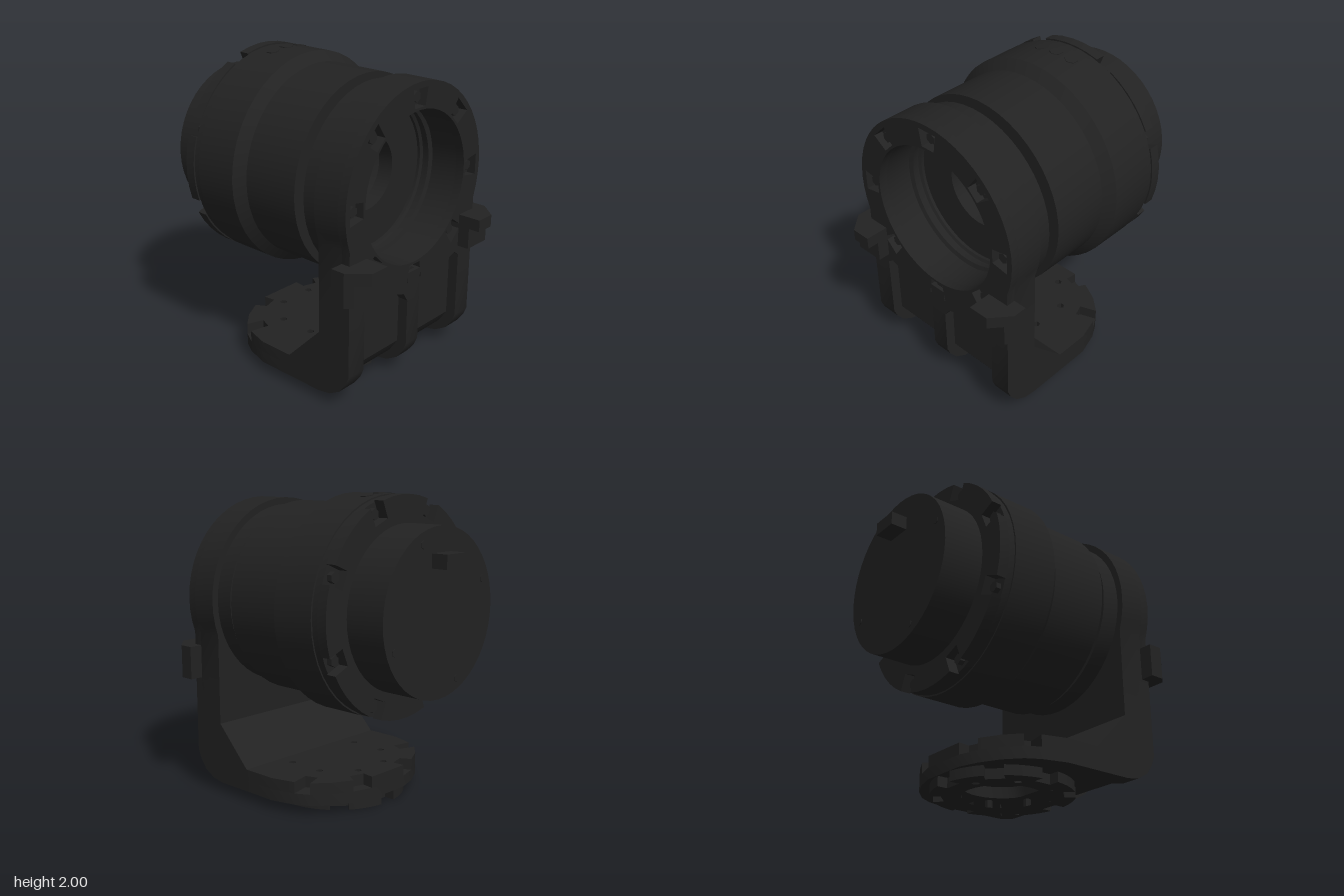
import * as THREE from 'three';
import { toCreasedNormals } from 'three/addons/utils/BufferGeometryUtils.js';

const AXIS_Y = 1.295; // height of the drum axis
const mat = new THREE.MeshStandardMaterial({ color: 0x222222 });

const V = (p) => p.map(([x, y]) => new THREE.Vector2(x, y));
const polar = (r, a, cx = 0, cy = 0) => [cx + r * Math.cos(a), cy + r * Math.sin(a)];
const circle = (r, n = 48, cx = 0, cy = 0, a0 = 0) =>
  Array.from({ length: n }, (_, i) => polar(r, a0 + (i / n) * Math.PI * 2, cx, cy));
const eighths = (offset) => Array.from({ length: 8 }, (_, i) => (i + offset) * Math.PI / 4);

function add(parent, name, geo, crease = 0.5) {
  const mesh = new THREE.Mesh(toCreasedNormals(geo, crease), mat);
  mesh.name = name;
  parent.add(mesh);
  return mesh;
}

function extrude(points, depth, holes = []) {
  const s = new THREE.Shape(V(points));
  s.holes = holes.map((h) => new THREE.Path(V(h)));
  return new THREE.ExtrudeGeometry(s, { depth, bevelEnabled: false });
}
// outline in (x, y), running from z0 to z1
const alongZ = (pts, z0, z1, holes) => extrude(pts, z1 - z0, holes).translate(0, 0, z0);
// outline in (x, z), running from y0 to y1
const alongY = (pts, y0, y1, holes = []) => {
  const flip = (l) => l.map(([x, z]) => [x, -z]);
  return extrude(flip(pts), y1 - y0, holes.map(flip)).rotateX(-Math.PI / 2).translate(0, y0, 0);
};
// outline in (z, y), running from x0 to x1
const alongX = (pts, x0, x1) =>
  extrude(pts.map(([z, y]) => [-z, y]), x1 - x0).rotateY(Math.PI / 2).translate(x0, 0, 0);
// closed (radius, z) profile spun about the drum axis
const spin = (pts) =>
  new THREE.LatheGeometry(V(pts), 48).rotateX(Math.PI / 2).translate(0, AXIS_Y, 0);

// round outline with eight square notches
function notchedRound(r, rIn, halfW, offset, cx, cy) {
  const pts = [];
  for (const a of eighths(offset)) {
    const d = Math.asin(halfW / r), di = Math.asin(halfW / rIn);
    pts.push(polar(r, a - d, cx, cy), polar(rIn, a - di, cx, cy), polar(rIn, a + di, cx, cy));
    const span = Math.PI / 4 - 2 * d;
    for (let i = 0; i < 5; i++) pts.push(polar(r, a + d + (span * i) / 5, cx, cy));
  }
  return pts;
}

function addDrum(g) {
  add(g, 'drumBody', spin([
    [0, -0.815], [0.53, -0.815], [0.53, -0.47], [0.695, -0.47], [0.695, -0.42], [0.705, -0.42],
    [0.705, -0.11], [0.642, -0.05], [0.642, 0.355], [0.47, 0.355], [0.47, 0.375], [0.245, 0.375],
    [0.24, 0.27], [0.2, 0.25], [0.2, 0.12], [0.15, 0.1], [0.12, 0.1], [0.12, -0.05], [0, -0.05],
  ]));
  add(g, 'rearFlange', alongZ(notchedRound(0.705, 0.59, 0.06, 0.5, 0, AXIS_Y), -0.54, -0.47,
    [circle(0.525, 48, 0, AXIS_Y)]));
  // bolts sitting in the flange notches, and small cap screws
  for (const a of eighths(0.5)) {
    const [x, y] = polar(0.64, a, 0, AXIS_Y);
    add(g, 'flangeBolt', new THREE.CylinderGeometry(0.035, 0.035, 0.04, 6)
      .rotateX(Math.PI / 2).translate(x, y, -0.485));
  }
  for (const a of eighths(0.5).filter((_, i) => i % 2)) {
    const [x, y] = polar(0.46, a, 0, AXIS_Y);
    add(g, 'capScrew', new THREE.CylinderGeometry(0.025, 0.025, 0.02, 6)
      .rotateX(Math.PI / 2).translate(x, y, -0.81));
  }
  for (const x of [-0.12, 0, 0.12]) {
    const y = AXIS_Y + Math.sqrt(0.705 ** 2 - x * x);
    add(g, 'topPlug', new THREE.CylinderGeometry(0.045, 0.045, 0.02, 6)
      .rotateZ(-x / 0.705).translate(x, y - 0.007, -0.33));
  }
  add(g, 'rearTab', new THREE.BoxGeometry(0.18, 0.09, 0.13).translate(0, 1.62, -0.86));
}

// bent side profile of the bracket; d sinks its front for the pockets
const bend = (d) => [
  [0.765 - d, 0.75], [0.765 - d, 0.25], [0.74 - d, 0.19 + d * 0.3], [0.69 - d * 0.8, 0.125 + d * 0.5],
  [0.61 - d * 0.6, 0.08 + d * 0.5], [0.52, 0.065], [0.27, 0.065], [0.27, 0.215],
  [0.525, 0.475], [0.525, 0.75],
];

function addBracket(g) {
  for (const [a, b] of [[-0.615, -0.475], [-0.06, 0.06], [0.475, 0.615]])
    add(g, 'bracketRib', alongX(bend(0), a, b));
  for (const [a, b] of [[-0.475, -0.06], [0.06, 0.475]])
    add(g, 'bracketPocket', alongX(bend(0.07), a, b));

  // rounded head with a bore, its underside forming the pocket tops
  const half = [[0.06, 0.56], [0.1, 0.62], [0.43, 0.73], [0.475, 0.7], [0.475, 0.56], [0.615, 0.56]];
  const a0 = -Math.acos(0.615 / 0.655);
  const arc = Array.from({ length: 33 }, (_, i) =>
    polar(0.655, a0 + ((Math.PI - 2 * a0) * i) / 32, 0, AXIS_Y));
  const head = [...half, ...arc, ...half.map(([x, y]) => [-x, y]).reverse()];
  const bore = circle(0.485, 48, 0, AXIS_Y);
  const sockets = eighths(0).map((a) => [[0.5, -0.05], [0.615, -0.07], [0.615, 0.07], [0.5, 0.05]]
    .map(([r, t]) => [r * Math.cos(a) - t * Math.sin(a), AXIS_Y + r * Math.sin(a) + t * Math.cos(a)]));
  add(g, 'headFront', alongZ(head, 0.705, 0.765, [bore, ...sockets]));
  add(g, 'headBack', alongZ(head, 0.525, 0.705, [bore]));
  for (const a of eighths(0)) {
    const [x, y] = polar(0.56, a, 0, AXIS_Y);
    add(g, 'headBolt', new THREE.CylinderGeometry(0.035, 0.035, 0.04, 6)
      .rotateX(Math.PI / 2).translate(x, y, 0.72));
  }
  // bearing collar behind the head, with grooves inside
  add(g, 'bearingCollar', spin([
    [0.48, 0.4], [0.61, 0.4], [0.61, 0.53], [0.51, 0.53], [0.51, 0.5], [0.48, 0.49],
    [0.48, 0.46], [0.5, 0.45], [0.5, 0.43], [0.48, 0.42], [0.48, 0.4],
  ]));

  // side ears with a protruding upper lip
  for (const s of [-1, 1]) {
    const ear = new THREE.Group();
    ear.name = s > 0 ? 'leftEar' : 'rightEar';
    const m = (p) => p.map(([x, z]) => [x * s, z]);
    add(ear, 'earBlock', alongY(m([[0.465, 0.705], [0.705, 0.705], [0.705, 0.8], [0.666, 0.845], [0.465, 0.845]]), 0.765, 0.905));
    add(ear, 'earLip', alongY(m([[0.465, 0.705], [0.705, 0.705], [0.705, 0.8], [0.6, 0.922], [0.465, 0.922]]), 0.905, 0.985));
    g.add(ear);
  }
}

function addFoot(g) {
  const cz = 0.035;
  const mirrored = (h) => [...h, ...h.map(([x, z]) => [-x, z]).reverse()];
  const plain = mirrored([[0.615, 0.28], [0.615, 0.03], [0.57, -0.13], [0.52, -0.22],
    [0.42, -0.31], [0.29, -0.38], [0.16, -0.42]]);
  const notched = mirrored([[0.615, 0.28], [0.615, 0.03], [0.57, -0.13], [0.44, -0.1], [0.41, -0.18],
    [0.52, -0.22], [0.42, -0.31], [0.29, -0.38], [0.25, -0.31], [0.15, -0.34], [0.16, -0.42]]);
  const screwHoles = eighths(0.5).map((a) => circle(0.025, 6, ...polar(0.33, a, 0, cz)));
  const footHoles = screwHoles.filter((h) => h.every(([, z]) => z < 0.25));
  const hub = circle(0.26, 32, 0, cz);
  // the hub recess must stay inside the plate's straight front edge
  const recess = hub.map(([x, z]) => [x, Math.min(z, 0.265)]);
  add(g, 'footLower', alongY(plain, 0.065, 0.14, [recess, ...footHoles]));
  add(g, 'footUpper', alongY(notched, 0.14, 0.215, footHoles));
  add(g, 'footRing', alongY(notchedRound(0.455, 0.385, 0.06, 0, 0, cz), 0, 0.066, [hub, ...screwHoles]));
}

export function createModel() {
  const model = new THREE.Group();
  model.name = 'rotaryJoint';
  for (const [name, build] of [['drum', addDrum], ['bracket', addBracket], ['foot', addFoot]]) {
    const part = new THREE.Group();
    part.name = name;
    build(part);
    model.add(part);
  }
  return model;
}
